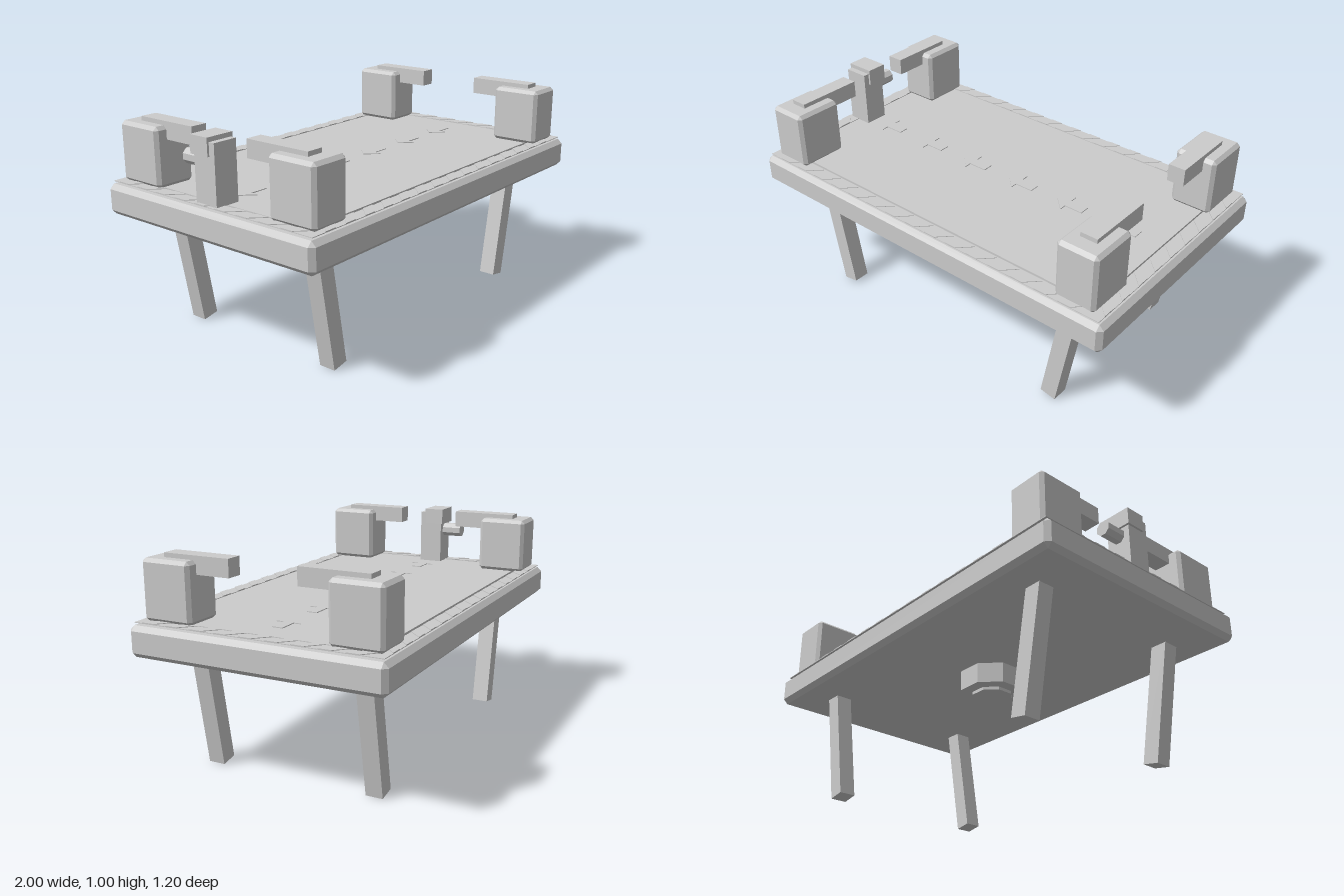
import * as THREE from 'three';
import { ConvexGeometry } from 'three/addons/geometries/ConvexGeometry.js';

const material = new THREE.MeshStandardMaterial({ color: 0xcccccc, flatShading: true });

function add(parent, name, geometry, x = 0, y = 0, z = 0) {
  const mesh = new THREE.Mesh(geometry, material);
  mesh.name = name;
  mesh.position.set(x, y, z);
  parent.add(mesh);
  return mesh;
}

const box = (w, h, d) => new THREE.BoxGeometry(w, h, d);

// Box with every edge cut by a flat chamfer c
function chamferBox(w, h, d, c) {
  const points = [];
  for (const sx of [-1, 1]) for (const sy of [-1, 1]) for (const sz of [-1, 1]) {
    for (let face = 0; face < 3; face++) {
      const inset = [0, 1, 2].map((axis) => (axis === face ? 0 : c));
      points.push(new THREE.Vector3(
        sx * (w / 2 - inset[0]), sy * (h / 2 - inset[1]), sz * (d / 2 - inset[2])));
    }
  }
  return new ConvexGeometry(points);
}

// Flat outline given as [x, -z] pairs, laid on the ground plane with thickness t
function flatPlate(points, t, hole) {
  const shape = new THREE.Shape(points.map(([x, y]) => new THREE.Vector2(x, y)));
  if (hole) shape.holes.push(new THREE.Path(hole.map(([x, y]) => new THREE.Vector2(x, y))));
  return new THREE.ExtrudeGeometry(shape, { depth: t, bevelEnabled: false }).rotateX(-Math.PI / 2);
}

const rect = (x, y) => [[-x, -y], [x, -y], [x, y], [-x, y]];

function octagon(radius, height) {
  return new THREE.CylinderGeometry(radius, radius, height, 8).rotateY(Math.PI / 8);
}

export function createModel() {
  const model = new THREE.Group();
  model.name = 'platform';

  // Deck and its raised floor
  add(model, 'deck', chamferBox(2, 0.14, 1.2, 0.022), 0, 0.63, 0);
  add(model, 'floorPlate', box(1.8, 0.01, 1), 0, 0.705, 0);

  // Striped warning border
  const border = new THREE.Group();
  border.name = 'warningBorder';
  model.add(border);
  add(border, 'borderFrame', flatPlate(rect(0.975, 0.58), 0.003, rect(0.915, 0.52)), 0, 0.709, 0);
  const stripe = flatPlate([[-0.06, -0.03], [0, -0.03], [0.06, 0.03], [0, 0.03]], 0.003);
  for (const side of [-1, 1]) {
    for (let i = -7; i <= 7; i++) {
      add(border, 'longStripe', stripe, i * 0.12, 0.712, side * 0.55);
    }
    for (let i = -4; i <= 4; i++) {
      add(border, 'shortStripe', stripe, side * 0.945, 0.712, i * 0.12).rotation.y = Math.PI / 2;
    }
  }

  // Row of direction arrows pointing to the post
  const arrow = flatPlate([[-0.08, 0], [-0.02, 0.06], [-0.02, 0.025], [0.07, 0.025],
    [0.07, -0.025], [-0.02, -0.025], [-0.02, -0.06]], 0.004);
  for (let i = 0; i < 6; i++) {
    add(model, 'arrow', arrow, (i - 2.5) * 0.284, 0.71, 0);
  }

  // Corner blocks with clamp bars, and slanted legs
  const block = chamferBox(0.195, 0.27, 0.24, 0.016);
  const bar = box(0.08, 0.08, 0.32);
  const leg = box(0.08, 0.6, 0.08);
  const tilt = THREE.MathUtils.degToRad(10);
  for (const sx of [-1, 1]) {
    for (const sz of [-1, 1]) {
      add(model, 'cornerBlock', block, sx * 0.84, 0.845, sz * 0.44);
      add(model, 'clampBar', bar, sx * 0.84, 0.96, sz * 0.32);
      const x = 0.65 + 0.3 * Math.sin(tilt);
      const y = 0.007 + 0.3 * Math.cos(tilt);
      add(model, 'leg', leg, sx * x, y, sz * 0.4).rotation.z = -sx * tilt;
    }
  }

  // Control post with head and side knob
  const post = new THREE.Group();
  post.name = 'controlPost';
  post.position.x = -0.9;
  model.add(post);
  add(post, 'postColumn', box(0.12, 0.27, 0.118), 0, 0.845, 0);
  add(post, 'postHead', box(0.14, 0.08, 0.1), 0, 0.96, -0.02);
  add(post, 'postKnob', octagon(0.036, 0.1), 0, 0.885, -0.11).rotation.x = Math.PI / 2;

  // Octagonal hub under the deck
  add(model, 'hub', octagon(0.16, 0.1), 0, 0.505, 0);
  add(model, 'hubCap', octagon(0.1, 0.02), 0, 0.45, 0);

  return model;
}
